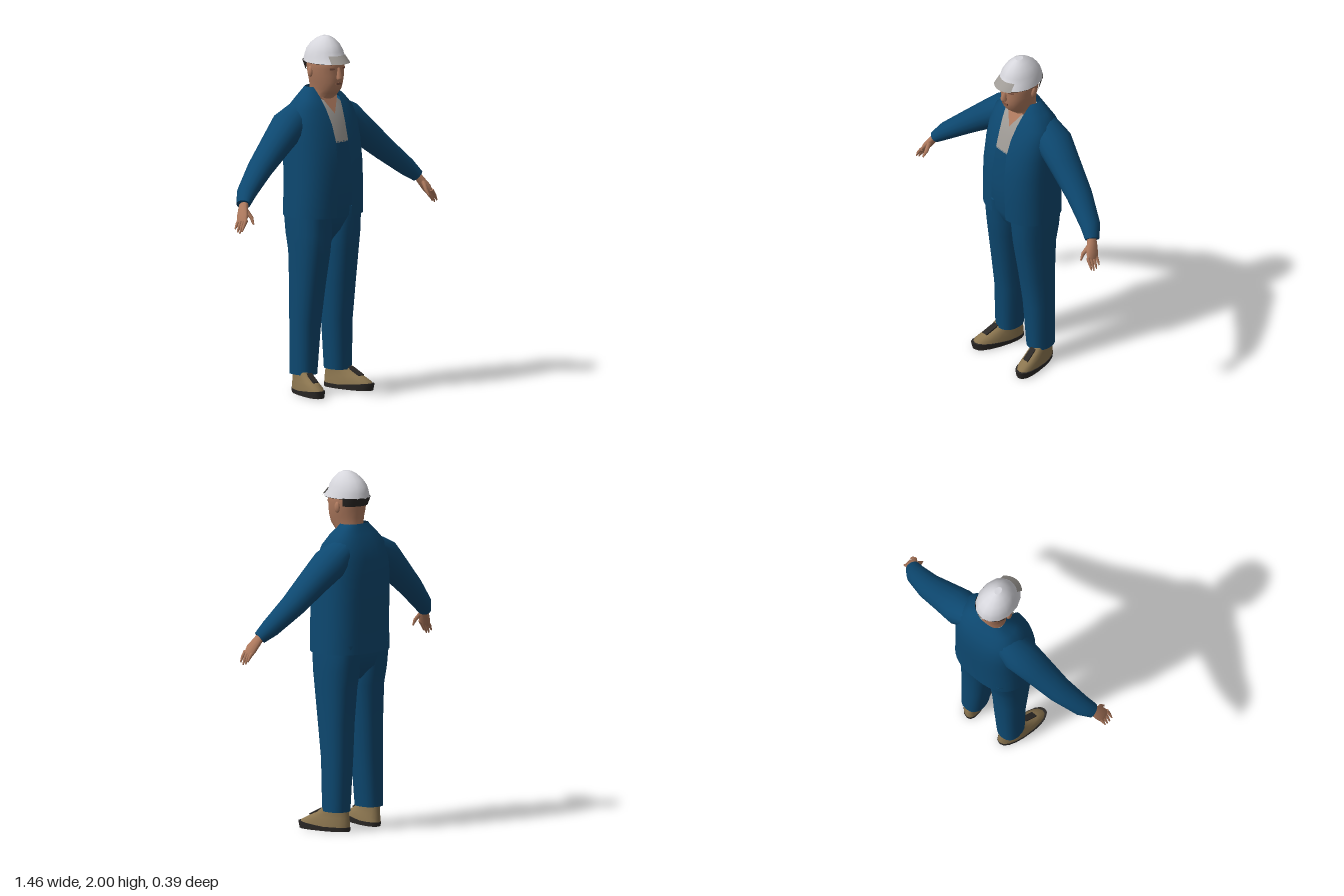
import * as THREE from 'three';

const V = (x, y, z) => new THREE.Vector3(x, y, z);
const UP = V(0, 1, 0);
const mat = (name, color, side = THREE.FrontSide) => {
  const m = new THREE.MeshStandardMaterial({ color, side });
  m.name = name;
  return m;
};

// One cross-section: a rounded outline around c, square to direction T.
function ring(c, T, a, b, { p = 1, t0 = 0, t1 = Math.PI * 2, n = 16 } = {}) {
  const e1 = V(0, 0, 1).addScaledVector(T, -T.z).normalize();
  const e2 = T.clone().cross(e1);
  const closed = t1 - t0 > 6.28;
  const pw = (v) => Math.sign(v) * Math.abs(v) ** p;
  return Array.from({ length: closed ? n : n + 1 }, (_, j) => {
    const t = t0 + ((t1 - t0) * j) / n;
    return c.clone().addScaledVector(e2, a * pw(Math.sin(t))).addScaledVector(e1, b * pw(Math.cos(t)));
  });
}

// Skin a list of cross-sections, with optional flat ends.
function skin(rings, closed = true, caps = closed) {
  const pos = [], idx = [], n = rings[0].length;
  rings.forEach((r) => r.forEach((q) => pos.push(q.x, q.y, q.z)));
  for (let i = 0; i < rings.length - 1; i++) {
    for (let j = 0; j < (closed ? n : n - 1); j++) {
      const k = (j + 1) % n, a = i * n + j, b = i * n + k;
      idx.push(a, b, b + n, a, b + n, a + n);
    }
  }
  if (caps) {
    [rings[0], rings[rings.length - 1]].forEach((r, end) => {
      const s = pos.length / 3;
      const mid = r.reduce((m, q) => m.add(q), V(0, 0, 0)).divideScalar(n);
      [mid, ...r].forEach((q) => pos.push(q.x, q.y, q.z));
      for (let j = 0; j < n; j++) {
        const a = s + 1 + j, b = s + 1 + ((j + 1) % n);
        idx.push(s, ...(end ? [a, b] : [b, a]));
      }
    });
  }
  const g = new THREE.BufferGeometry();
  g.setAttribute('position', new THREE.Float32BufferAttribute(pos, 3));
  g.setIndex(idx);
  g.computeVertexNormals();
  return g;
}

// Level sections from rows of [y, half width, front z, back z, centre x].
function stack(rows, opt = {}) {
  const closed = opt.t1 === undefined;
  return skin(rows.map(([y, a, f, b, x = 0]) => ring(V(x, y, (f + b) / 2), UP, a, (f - b) / 2, opt)), closed);
}

// Limb from rows of [x, y, z, radius, depth radius], each section square to the path.
function limb(rows, n = 12) {
  const c = rows.map((r) => V(r[0], r[1], r[2]));
  return skin(rows.map((r, i) => {
    const T = c[Math.min(i + 1, c.length - 1)].clone().sub(c[Math.max(i - 1, 0)]).normalize();
    return ring(c[i], T, r[3], r[4] ?? r[3], { n });
  }));
}

function mirrored(g) {
  const m = g.clone().scale(-1, 1, 1), ix = m.index;
  for (let i = 0; i < ix.count; i += 3) {
    const b = ix.getX(i + 1);
    ix.setX(i + 1, ix.getX(i + 2));
    ix.setX(i + 2, b);
  }
  m.computeVertexNormals();
  return m;
}

export function createModel() {
  const model = new THREE.Group();
  model.name = 'worker';
  const blue = mat('workwear blue', 0x0d4870, THREE.DoubleSide);
  const skinTone = mat('skin', 0xb07b5f);
  const shade = mat('face detail brown', 0x7d5240);
  const grey = mat('shirt grey', 0xa09c97, THREE.DoubleSide);
  const white = mat('helmet white', 0xd6d6dc, THREE.DoubleSide);
  const tan = mat('shoe tan', 0x8c7650);
  const dark = mat('dark rubber', 0x2b2826, THREE.DoubleSide);

  const add = (name, g, m) => {
    const mesh = new THREE.Mesh(g, m);
    mesh.name = name;
    model.add(mesh);
  };
  const pair = (name, g, m) => {
    add('left ' + name, g, m);
    add('right ' + name, mirrored(g), m);
  };

  // Jacket: an open shell, rows of [y, half width, front z, back z, half opening]
  const p = 0.78;
  add('jacket', skin([
    [1.0, 0.229, 0.165, -0.19, 0.056], [1.15, 0.225, 0.17, -0.19, 0.055],
    [1.3, 0.222, 0.165, -0.195, 0.05], [1.42, 0.22, 0.147, -0.195, 0.045],
    [1.52, 0.217, 0.117, -0.185, 0.05], [1.6, 0.2, 0.082, -0.163, 0.06],
    [1.66, 0.145, 0.05, -0.13, 0.069], [1.715, 0.085, 0.01, -0.102, 0.072],
  ].map(([y, a, f, b, gap]) => {
    const t0 = Math.asin((gap / a) ** (1 / p));
    return ring(V(0, y, (f + b) / 2), UP, a, (f - b) / 2, { p, t0, t1: 2 * Math.PI - t0, n: 36 });
  }), false), blue);
  pair('sleeve', limb([
    [0.1, 1.585, -0.065, 0.07, 0.08], [0.21, 1.51, -0.062, 0.093, 0.105],
    [0.315, 1.425, -0.045, 0.081, 0.092], [0.465, 1.3, -0.022, 0.065, 0.075],
    [0.6, 1.187, 0.018, 0.05, 0.058], [0.652, 1.135, 0.05, 0.034, 0.042],
  ], 16), blue);

  // Overalls, shirt and bare collar
  add('overalls bib', stack([
    [0.84, 0.08, 0.04, -0.08], [0.92, 0.17, 0.1, -0.15], [1.0, 0.205, 0.132, -0.172],
    [1.2, 0.205, 0.148, -0.175], [1.42, 0.2, 0.128, -0.175],
  ], { p: 0.85, n: 24 }), blue);
  pair('trouser leg', stack([
    [0.11, 0.069, 0.046, -0.112, 0.129], [0.4, 0.082, 0.058, -0.116, 0.118],
    [0.6, 0.09, 0.085, -0.12, 0.113], [0.8, 0.1, 0.115, -0.132, 0.106],
    [0.9, 0.106, 0.127, -0.153, 0.106], [1.05, 0.105, 0.137, -0.175, 0.106],
  ], { p: 0.85, n: 18 }), blue);
  add('shirt', stack([
    [1.415, 0.19, 0.129, -0.16], [1.52, 0.18, 0.103, -0.155],
    [1.6, 0.15, 0.066, -0.14], [1.65, 0.085, 0.036, -0.11],
  ], { p: 0.85, n: 24 }), grey);
  const collar = new THREE.BufferGeometry().setFromPoints([V(0, 1.57, 0.086), V(0.06, 1.665, 0.038), V(-0.06, 1.665, 0.038)]);
  collar.computeVertexNormals();
  add('open collar skin', collar, skinTone);

  // Head and face
  add('head and neck', stack([
    [1.58, 0.078, 0.04, -0.09], [1.65, 0.07, 0.046, -0.094], [1.685, 0.068, 0.088, -0.094],
    [1.71, 0.074, 0.11, -0.094], [1.75, 0.084, 0.119, -0.095], [1.79, 0.095, 0.12, -0.1],
    [1.83, 0.1, 0.119, -0.105], [1.87, 0.102, 0.124, -0.11], [1.9, 0.09, 0.1, -0.09],
  ], { n: 20 }), skinTone);
  add('nose', stack([
    [1.765, 0.014, 0.134, 0.1], [1.778, 0.02, 0.146, 0.1], [1.835, 0.009, 0.123, 0.1],
  ], { n: 6 }), skinTone);
  pair('ear', new THREE.SphereGeometry(1, 8, 6).scale(0.012, 0.032, 0.019).translate(0.098, 1.808, -0.01), skinTone);
  pair('eye', new THREE.BoxGeometry(0.03, 0.01, 0.008).rotateY(0.4).translate(0.04, 1.828, 0.109), shade);
  add('mouth', new THREE.BoxGeometry(0.042, 0.012, 0.009).translate(0, 1.743, 0.116), shade);

  // Hard hat with grey peak, dark lining and rear strap
  add('helmet shell', stack([
    [1.858, 0.112, 0.155, -0.135], [1.888, 0.102, 0.126, -0.128], [1.92, 0.093, 0.117, -0.118],
    [1.955, 0.073, 0.096, -0.09], [1.985, 0.045, 0.064, -0.05], [2.0, 0.018, 0.035, -0.015],
  ], { n: 14 }), white);
  add('helmet peak', stack([
    [1.858, 0.114, 0.166, -0.135], [1.9, 0.102, 0.126, -0.127],
  ], { t0: -0.65, t1: 0.65, n: 8 }), grey);
  add('helmet lining', new THREE.CircleGeometry(1, 20).rotateX(Math.PI / 2).scale(0.11, 1, 0.143).translate(0, 1.856, 0.011), dark);
  add('helmet strap', stack([
    [1.815, 0.1, 0.1, -0.113], [1.862, 0.11, 0.12, -0.134],
  ], { t0: Math.PI * 0.62, t1: Math.PI * 1.38, n: 12 }), dark);

  // Hands: palm, four fingers and a thumb
  pair('palm', limb([
    [0.64, 1.15, 0.045, 0.02, 0.027], [0.662, 1.115, 0.06, 0.02, 0.032],
    [0.685, 1.075, 0.08, 0.019, 0.04], [0.7, 1.045, 0.09, 0.012, 0.036],
  ], 10), skinTone);
  for (let i = 0; i < 4; i++) {
    const z = 0.062 + i * 0.019, drop = [0.02, 0.004, 0, 0.012][i];
    pair('finger ' + (i + 1), limb([
      [0.692, 1.06, z, 0.011], [0.714, 1.022 + drop / 2, z + 0.003, 0.009], [0.728, 0.987 + drop, z + 0.004, 0.004],
    ], 6), skinTone);
  }
  pair('thumb', limb([
    [0.662, 1.105, 0.085, 0.014], [0.652, 1.068, 0.118, 0.011], [0.657, 1.035, 0.139, 0.005],
  ], 6), skinTone);

  // Shoes, toes turned out
  const turnOut = (g, lift = 0) => {
    const a = g.attributes.position;
    for (let i = 0; i < a.count; i++) {
      const z = a.getZ(i);
      a.setX(i, a.getX(i) + 0.145 + z * 0.22);
      a.setY(i, a.getY(i) * (1 + Math.max(0, z) * lift));
    }
    g.computeVertexNormals();
    return g;
  };
  pair('shoe upper', turnOut(stack([
    [0.02, 0.056, 0.184, -0.119], [0.05, 0.054, 0.172, -0.117], [0.075, 0.048, 0.125, -0.115],
    [0.1, 0.046, 0.07, -0.111], [0.13, 0.045, 0.035, -0.105],
  ], { p: 0.85, n: 18 })), tan);
  pair('shoe sole', turnOut(stack([
    [0, 0.056, 0.182, -0.118], [0.024, 0.059, 0.191, -0.121],
  ], { p: 0.85, n: 18 }), 4), dark);
  pair('shoe laces', turnOut(new THREE.BoxGeometry(0.036, 0.008, 0.085).rotateX(0.5).translate(0, 0.1, 0.079)), dark);

  return model;
}
